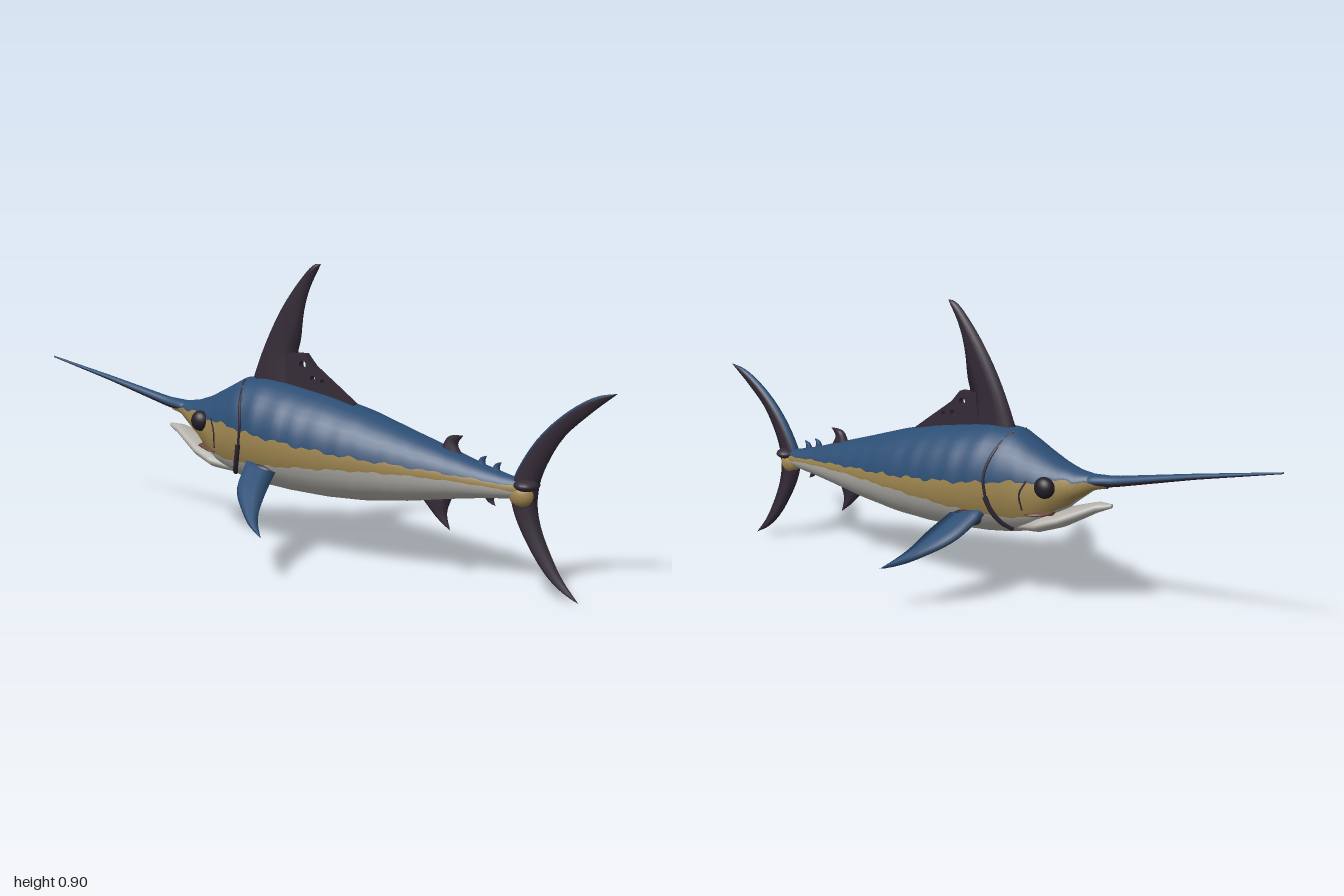
import * as THREE from 'three';

const mat = (name, color) => {
  const m = new THREE.MeshStandardMaterial({ color });
  m.name = name;
  return m;
};
const blue = mat('back blue', 0x2c4e74);
const gold = mat('flank gold', 0x9f864f);
const white = mat('belly white', 0xb3b0aa);
const dark = mat('fin dark', 0x332a36);
const eyeMat = mat('eye black', 0x221d27);
const mouthMat = mat('mouth brown', 0x6a493c);

const V = (x, y, z = 0) => new THREE.Vector3(x, y, z);

// Skin closed rings of points; segMats gives one material per ring segment
function loft(name, rings, segMats) {
  const n = rings[0].length, pos = [], index = [];
  rings.forEach(r => r.forEach(p => pos.push(p.x, p.y, p.z)));
  const mats = [...new Set(segMats)];
  const g = new THREE.BufferGeometry();
  mats.forEach((m, mi) => {
    const start = index.length;
    for (let i = 0; i < rings.length - 1; i++) {
      for (let u = 0; u < n; u++) {
        if (segMats[u] !== m) continue;
        const a = i * n + u, b = i * n + (u + 1) % n;
        index.push(a, b, a + n, b, b + n, a + n);
      }
    }
    if (mi === 0) { // end caps
      const e = (rings.length - 1) * n;
      for (let u = 1; u < n - 1; u++) index.push(0, u + 1, u, e, e + u, e + u + 1);
    }
    g.addGroup(start, index.length - start, mi);
  });
  g.setAttribute('position', new THREE.Float32BufferAttribute(pos, 3));
  g.setIndex(index);
  g.computeVertexNormals();
  const mesh = new THREE.Mesh(g, mats);
  mesh.name = name;
  return mesh;
}

// Interpolate a table row at x
function rowAt(table, x) {
  let i = 0;
  while (i < table.length - 2 && x > table[i + 1][0]) i++;
  const a = table[i], b = table[i + 1], t = (x - a[0]) / (b[0] - a[0]);
  return a.map((v, k) => v + (b[k] - v) * t);
}

// Oval body: rows are x, top, bottom, half width, upper colour line, lower colour line
function ovalLoft(name, table, [upper, middle, lower], steps, ragged = 0) {
  const parts = [8, 3, 7], rings = [];
  const x0 = table[0][0], x1 = table[table.length - 1][0];
  for (let i = 0; i <= steps; i++) {
    const x = x0 + (x1 - x0) * i / steps;
    const [, top, bot, w, l1, l2] = rowAt(table, x);
    const c = (top + bot) / 2, h = (top - bot) / 2;
    const ang = y => Math.asin(THREE.MathUtils.clamp((y - c) / h, -0.97, 0.97));
    const jag = ragged * (Math.sin(i * 1.9) + Math.sin(i * 0.83)) * Math.min(1, (l1 - l2) / 0.04);
    const stops = [Math.PI / 2, ang(l1 + jag), ang(l2 - jag * 0.6), -Math.PI / 2];
    const side = [];
    parts.forEach((k, p) => {
      for (let j = 0; j < k; j++) side.push(stops[p] + (stops[p + 1] - stops[p]) * j / k);
    });
    side.push(-Math.PI / 2);
    const wob = 1 + ragged * 2.5 * Math.sin(i * 1.3);
    const half = side.map(a => V(x, c + h * Math.sin(a), w * wob * Math.cos(a)));
    const back = half.slice(1, -1).reverse().map(p => V(p.x, p.y, -p.z));
    rings.push([...half, ...back]);
  }
  const s = [upper, middle, lower].flatMap((m, p) => Array(parts[p]).fill(m));
  return loft(name, rings, [...s, ...s.slice().reverse()]);
}

// Lens-section fin between a leading and a trailing edge
function blade(name, lead, trail, thick, { top = dark, bottom = dark, edge = dark } = {}) {
  const A = new THREE.CatmullRomCurve3(lead.map(p => V(...p)));
  const B = new THREE.CatmullRomCurve3(trail.map(p => V(...p)));
  const span = A.getPoint(0.9).sub(A.getPoint(0));
  const n = B.getPoint(0.2).sub(A.getPoint(0.2)).cross(span).normalize();
  const s = [0, 0.1, 0.3, 0.65, 1], rings = [];
  for (let i = 0; i <= 18; i++) {
    const v = i / 18, a = A.getPoint(v), b = B.getPoint(v);
    const t = thick * (1 - 0.6 * v) * Math.sqrt(1 - v ** 8);
    const at = (k, sign) => a.clone().lerp(b, s[k])
      .addScaledVector(n, sign * t * Math.sin(Math.PI * Math.sqrt(s[k])));
    rings.push([at(0, 1), at(1, 1), at(2, 1), at(3, 1), at(4, 1), at(3, -1), at(2, -1), at(1, -1)]);
  }
  const [p, q] = n.y > 0 ? [top, bottom] : [bottom, top];
  return loft(name, rings, [edge, p, p, p, q, q, q, edge]);
}

function ellipsoid(name, m, c, r) {
  const mesh = new THREE.Mesh(new THREE.SphereGeometry(1, 20, 14), m);
  mesh.name = name;
  mesh.position.set(...c);
  mesh.scale.set(...r);
  return mesh;
}

const BODY = [
  [-0.48, 0.432, 0.402, 0.014, 0.412, 0.403],
  [-0.44, 0.437, 0.393, 0.026, 0.415, 0.394],
  [-0.38, 0.444, 0.345, 0.052, 0.42, 0.346],
  [-0.32, 0.464, 0.292, 0.08, 0.415, 0.315],
  [-0.26, 0.495, 0.24, 0.1, 0.405, 0.298],
  [-0.18, 0.538, 0.218, 0.118, 0.4, 0.285],
  [-0.1, 0.542, 0.207, 0.131, 0.387, 0.288],
  [0, 0.526, 0.2, 0.138, 0.376, 0.296],
  [0.12, 0.505, 0.197, 0.133, 0.364, 0.305],
  [0.25, 0.473, 0.203, 0.12, 0.352, 0.313],
  [0.4, 0.425, 0.222, 0.093, 0.342, 0.316],
  [0.52, 0.388, 0.244, 0.07, 0.332, 0.313],
  [0.62, 0.356, 0.26, 0.048, 0.322, 0.307],
  [0.7, 0.336, 0.27, 0.033, 0.314, 0.299],
  [0.76, 0.325, 0.28, 0.02, 0.308, 0.295],
];

// Thin dark crease that follows the body surface on one side
function crease(name, pts, side, r) {
  const curve = new THREE.CatmullRomCurve3(pts.map(([x, y]) => {
    const [, top, bot, w] = rowAt(BODY, x);
    const k = (y - (top + bot) / 2) / ((top - bot) / 2);
    return V(x, y, side * w * Math.sqrt(Math.max(0, 1 - k * k)));
  }));
  const mesh = new THREE.Mesh(new THREE.TubeGeometry(curve, 28, r, 6), dark);
  mesh.name = name;
  return mesh;
}

export function createModel() {
  const fish = new THREE.Group();
  fish.name = 'billfish';

  // Body, bill and jaw
  fish.add(ovalLoft('body', BODY, [blue, gold, white], 80, 0.004));
  fish.add(ovalLoft('bill', [
    [-1, 0.538, 0.533, 0.003, 0.535, 0.534],
    [-0.75, 0.492, 0.475, 0.01, 0.482, 0.479],
    [-0.5, 0.443, 0.41, 0.018, 0.424, 0.418],
    [-0.42, 0.437, 0.398, 0.03, 0.416, 0.408],
  ], [blue, dark, dark], 24));
  fish.add(ovalLoft('lowerJaw', [
    [-0.495, 0.358, 0.346, 0.006, 0.354, 0.35],
    [-0.45, 0.357, 0.325, 0.026, 0.35, 0.34],
    [-0.4, 0.34, 0.295, 0.048, 0.325, 0.31],
    [-0.35, 0.322, 0.266, 0.068, 0.3, 0.29],
    [-0.28, 0.3, 0.24, 0.082, 0.29, 0.27],
    [-0.21, 0.275, 0.232, 0.06, 0.26, 0.25],
  ], [white, white, white], 20));
  fish.add(ovalLoft('mouthCorner', [
    [-0.33, 0.322, 0.305, 0.073, 0.318, 0.31],
    [-0.28, 0.32, 0.294, 0.092, 0.315, 0.305],
    [-0.255, 0.312, 0.298, 0.096, 0.31, 0.302],
  ], [mouthMat, mouthMat, mouthMat], 8));

  // Main dorsal fin: tall blade and a low pierced web behind it
  fish.add(blade('dorsalFin',
    [[-0.175, 0.51], [-0.125, 0.635], [-0.06, 0.757], [0.01, 0.85], [0.055, 0.893], [0.08, 0.897]],
    [[0.03, 0.5], [-0.002, 0.61], [0.01, 0.67], [0.02, 0.75], [0.04, 0.82], [0.08, 0.897]], 0.024));
  const web = new THREE.Shape([[-0.04, 0.48], [-0.03, 0.625], [0.03, 0.625], [0.06, 0.59], [0.09, 0.568],
    [0.14, 0.532], [0.2, 0.488], [0.2, 0.46]].map(p => new THREE.Vector2(...p)));
  for (const [x, y, r] of [[0.022, 0.592, 0.012], [0.058, 0.552, 0.009], [0.092, 0.545, 0.008]]) {
    web.holes.push(new THREE.Path().absarc(x, y, r, 0, Math.PI * 2));
  }
  const webMesh = new THREE.Mesh(
    new THREE.ExtrudeGeometry(web, { depth: 0.024, bevelEnabled: false }), dark);
  webMesh.name = 'dorsalWeb';
  webMesh.position.z = -0.012;
  fish.add(webMesh);

  // Tail fin lobes, with a thick root and a gold patch beneath
  fish.add(blade('upperTailLobe',
    [[0.7, 0.29], [0.72, 0.35], [0.78, 0.45], [0.86, 0.53], [0.94, 0.58], [1, 0.594]],
    [[0.785, 0.27], [0.79, 0.32], [0.81, 0.38], [0.855, 0.46], [0.93, 0.535], [1, 0.594]],
    0.022, { edge: blue }));
  fish.add(blade('lowerTailLobe',
    [[0.7, 0.31], [0.71, 0.25], [0.74, 0.18], [0.81, 0.075], [0.86, 0.03], [0.915, 0]],
    [[0.79, 0.32], [0.785, 0.27], [0.798, 0.2], [0.84, 0.105], [0.87, 0.055], [0.915, 0]], 0.022));
  fish.add(ellipsoid('tailRoot', dark, [0.752, 0.315, 0], [0.036, 0.018, 0.044]));
  fish.add(ellipsoid('tailPatch', gold, [0.738, 0.285, 0], [0.038, 0.036, 0.031]));

  // Small fins and finlets
  fish.add(blade('secondDorsalFin', [[0.485, 0.385], [0.51, 0.425], [0.555, 0.432]],
    [[0.565, 0.36], [0.54, 0.405], [0.555, 0.432]], 0.016));
  fish.add(blade('analFin', [[0.42, 0.24], [0.475, 0.185], [0.52, 0.15]],
    [[0.53, 0.26], [0.51, 0.2], [0.52, 0.15]], 0.016));
  for (const [x, y] of [[0.6, 0.355], [0.645, 0.342]]) {
    fish.add(blade('upperFinlet', [[x, y], [x + 0.01, y + 0.02], [x + 0.03, y + 0.028]],
      [[x + 0.035, y - 0.01], [x + 0.025, y + 0.01], [x + 0.03, y + 0.028]], 0.01,
      { top: blue, bottom: blue, edge: blue }));
  }
  fish.add(blade('lowerFinlet', [[0.62, 0.27], [0.64, 0.25], [0.66, 0.242]],
    [[0.665, 0.275], [0.655, 0.26], [0.66, 0.242]], 0.01));

  // Paired parts on both flanks
  for (const s of [1, -1]) {
    fish.add(blade('pectoralFin',
      [[-0.125, 0.287, s * 0.105], [-0.09, 0.228, s * 0.2], [-0.02, 0.184, s * 0.27],
        [0.03, 0.16, s * 0.308], [0.09, 0.14, s * 0.337]],
      [[-0.01, 0.28, s * 0.105], [0.015, 0.234, s * 0.2], [0.035, 0.193, s * 0.265],
        [0.055, 0.17, s * 0.3], [0.09, 0.14, s * 0.337]],
      0.018, { top: blue, edge: blue }));
    fish.add(ellipsoid('pectoralSocket', dark, [-0.07, 0.27, s * 0.115], [0.05, 0.024, 0.016]));
    fish.add(ellipsoid('eye', eyeMat, [-0.315, 0.395, s * 0.078], [0.032, 0.032, 0.025]));
    fish.add(crease('gillSlit', [[-0.175, 0.532], [-0.15, 0.48], [-0.133, 0.41], [-0.14, 0.34]], s, 0.005));
    fish.add(crease('gillOpening', [[-0.138, 0.35], [-0.155, 0.3], [-0.175, 0.265], [-0.195, 0.243]], s, 0.009));
    fish.add(crease('cheekLine', [[-0.262, 0.41], [-0.245, 0.37], [-0.25, 0.32]], s, 0.003));
  }
  return fish;
}
